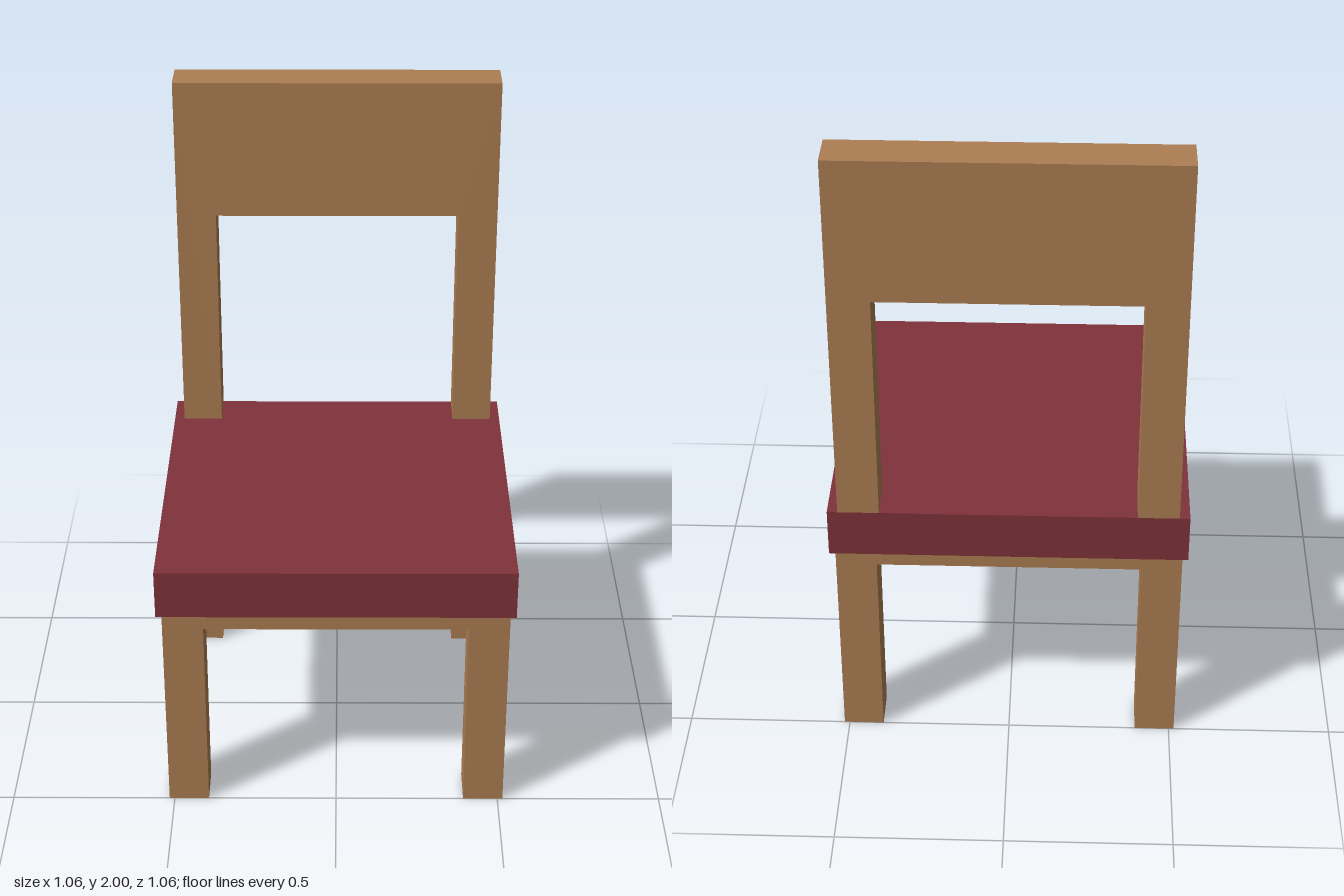
import * as THREE from 'three';

export function createModel() {
  const chair = new THREE.Group();
  chair.name = 'chair';

  const wood = new THREE.MeshStandardMaterial({ color: 0xad7f53 });
  wood.name = 'wood';
  const cushionRed = new THREE.MeshStandardMaterial({ color: 0x80333a });
  cushionRed.name = 'cushion red';

  // Adds a box resting on height y
  function addBox(name, material, [w, h, d], [x, y, z]) {
    const mesh = new THREE.Mesh(new THREE.BoxGeometry(w, h, d), material);
    mesh.name = name;
    mesh.position.set(x, y + h / 2, z);
    chair.add(mesh);
  }

  // Four square legs under the seat frame
  for (const [side, sx] of [['Left', 1], ['Right', -1]]) {
    for (const [end, sz] of [['front', 1], ['back', -1]]) {
      addBox(`${end}${side}Leg`, wood, [0.122, 0.63, 0.122], [sx * 0.455, 0, sz * 0.439]);
    }
  }

  // Seat frame and overhanging cushion
  addBox('seatFrame', wood, [1.032, 0.063, 1.0], [0, 0.63, 0]);
  addBox('seatCushion', cushionRed, [1.062, 0.152, 1.062], [0, 0.693, 0]);

  // Backrest: two posts joined by a broad top panel, cut as one outline
  const outline = [
    [-0.5, 0.845], [-0.378, 0.845], [-0.378, 1.566], [0.378, 1.566],
    [0.378, 0.845], [0.5, 0.845], [0.5, 2], [-0.5, 2],
  ].map(([x, y]) => new THREE.Vector2(x, y));
  const backrest = new THREE.Mesh(
    new THREE.ExtrudeGeometry(new THREE.Shape(outline), { depth: 0.122, bevelEnabled: false }),
    wood,
  );
  backrest.name = 'backrest';
  backrest.position.z = -0.531;
  chair.add(backrest);

  return chair;
}
